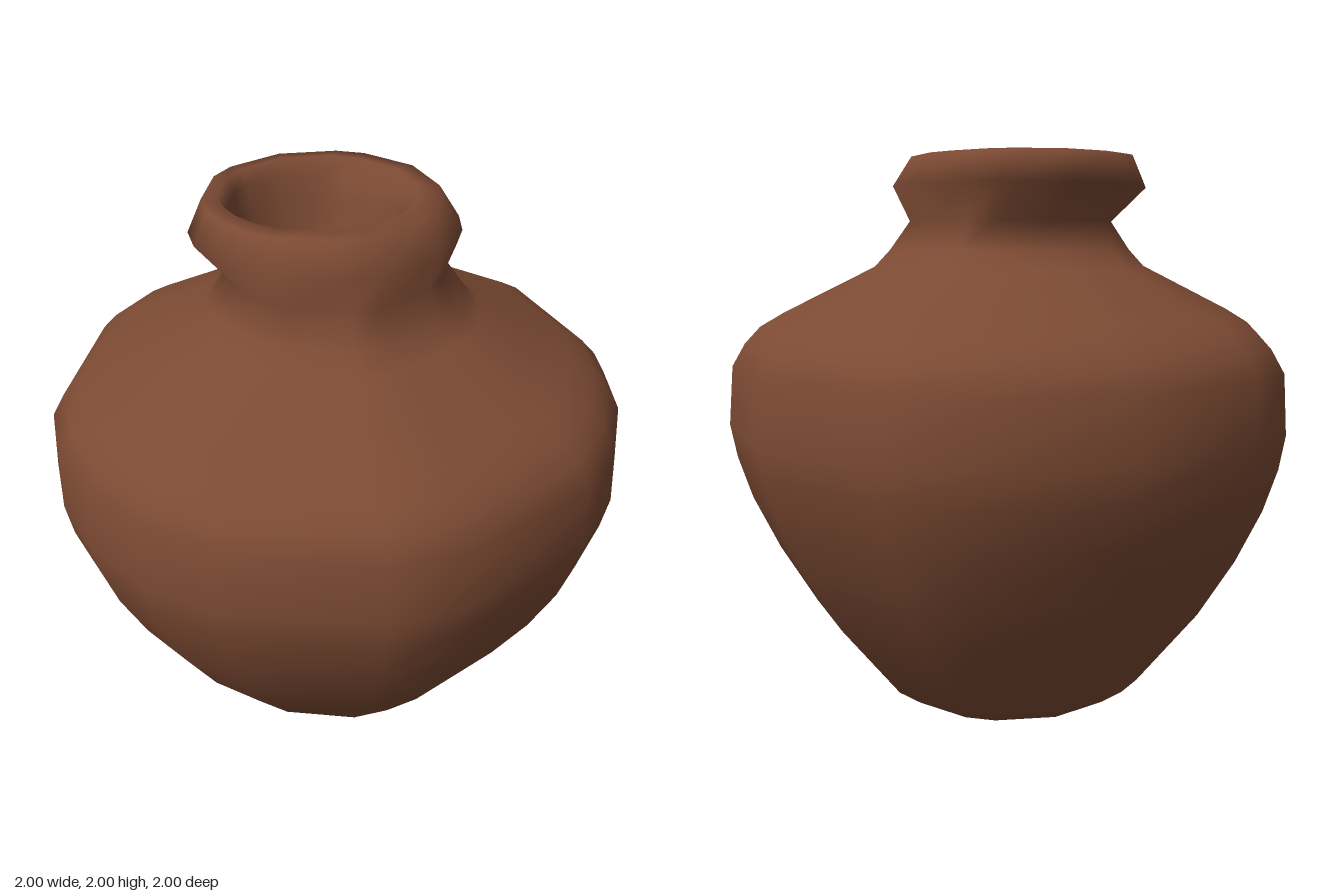
import * as THREE from 'three';

// Uneven spacing of the sides, in degrees from +x towards +z
const ANGLES = [-15, 15, 30, 45, 60, 90, 105, 135, 150, 165, 180, 195, 225, 240, 270, 300, 315];

// Skin through a stack of rings [y, radius, centre x, centre z], outward facing when listed upwards
function ringSkin(rings) {
  const n = ANGLES.length;
  const positions = [];
  const index = [];
  rings.forEach(([y, r, cx, cz], i) => {
    ANGLES.forEach((deg, j) => {
      const a = THREE.MathUtils.degToRad(deg);
      positions.push(cx + r * Math.cos(a), y, cz + r * 0.985 * Math.sin(a));
      if (i === rings.length - 1) return;
      const p = i * n + j;
      const q = i * n + (j + 1) % n;
      index.push(p, p + n, q, q, p + n, q + n);
    });
  });
  const geometry = new THREE.BufferGeometry();
  geometry.setAttribute('position', new THREE.Float32BufferAttribute(positions, 3));
  geometry.setIndex(index);
  geometry.computeVertexNormals();
  return geometry;
}

export function createModel() {
  const clay = new THREE.MeshStandardMaterial({ color: 0x7c4a33 });
  clay.name = 'brown clay';

  const rings = [
    // foot
    [0, 0, 0.015, 0], [0, 0.15, 0.015, 0], [0.04, 0.417, 0.013, 0], [0.1, 0.503, 0.013, 0],
    // belly
    [0.38, 0.727, 0.015, 0], [0.59, 0.855, 0.015, 0], [0.78, 0.946, 0.016, 0],
    [0.93, 0.995, 0.016, 0], [1.05, 1.017, 0.017, 0], [1.26, 1.002, 0.015, 0],
    // shoulder
    [1.34, 0.956, 0.015, 0], [1.4, 0.9, 0.015, 0], [1.45, 0.815, 0.014, 0],
    [1.61, 0.493, 0.012, 0], [1.67, 0.437, 0.012, 0],
    // neck
    [1.77, 0.367, 0.01, 0],
    // lopsided rim
    [1.89, 0.455, -0.005, -0.053], [1.99, 0.397, -0.005, -0.08], [2, 0.33, -0.02, -0.075],
    // hollow inside, with the floor ring doubled for a sharp edge
    [1.95, 0.288, -0.038, -0.08], [1.85, 0.27, -0.038, -0.078], [1.72, 0.235, -0.038, -0.075],
    [1.5, 0.16, -0.038, -0.07], [1.5, 0.16, -0.038, -0.07], [1.5, 0, -0.038, -0.07],
  ];

  const pot = new THREE.Mesh(ringSkin(rings), clay);
  pot.name = 'pot';

  const group = new THREE.Group();
  group.name = 'clayPot';
  group.add(pot);
  return group;
}
